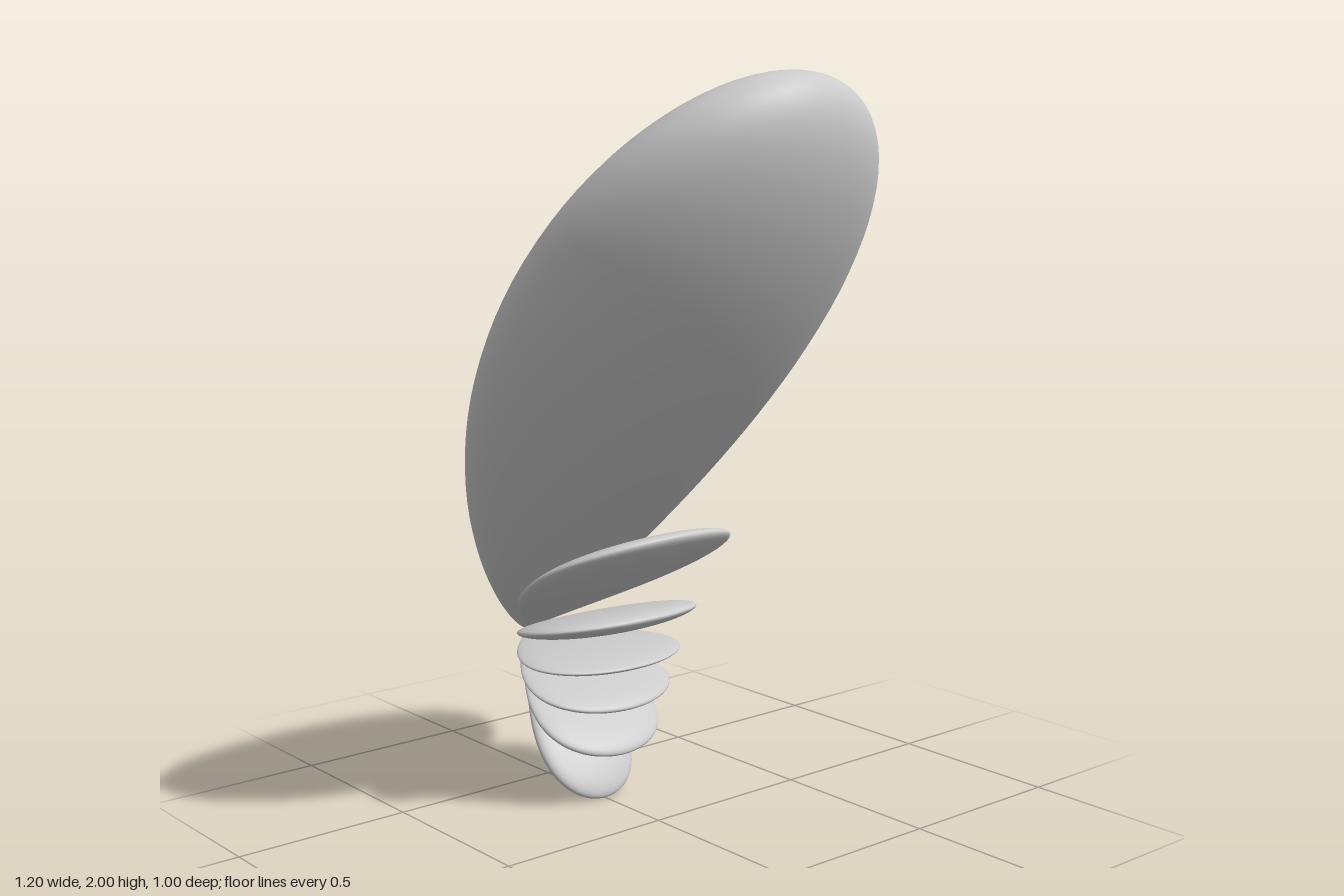
import * as THREE from 'three';
import { mergeVertices } from 'three/addons/utils/BufferGeometryUtils.js';

const PIVOT = new THREE.Vector2(-0.592, 0.42);

// Egg-like outline: narrow at the root, blunt at the tip, value 1 at t = peak
function outline(t, peak) {
  const a = (0.5 * peak) / (1 - peak);
  const raw = (u) => Math.pow(u, a) * Math.sqrt(1 - u);
  return raw(t) / raw(peak);
}

// A flattened teardrop along +y; its centre line bows and its side edges curl to -x
function petalGeometry(length, halfWidth, halfThickness, peak) {
  const profile = [];
  const steps = 48;
  for (let i = 0; i <= steps; i++) {
    const t = (1 - Math.cos((Math.PI * i) / steps)) / 2;
    const r = i === 0 || i === steps ? 0 : outline(t, peak);
    profile.push(new THREE.Vector2(r, t));
  }
  let geo = new THREE.LatheGeometry(profile, 64);
  const pos = geo.attributes.position;
  for (let i = 0; i < pos.count; i++) {
    const t = pos.getY(i);
    const bow = 1.4 * t * (1 - t) ** 2;
    const curl = 0.2 * pos.getZ(i) ** 2;
    pos.setX(i, pos.getX(i) - bow - curl);
  }
  geo.scale(halfThickness, length, halfWidth);
  // Weld the seam so the shading stays smooth
  geo.deleteAttribute('normal');
  geo.deleteAttribute('uv');
  geo = mergeVertices(geo, 1e-5);
  geo.computeVertexNormals();
  return geo;
}

export function createModel() {
  const model = new THREE.Group();
  model.name = 'petalFan';
  const material = new THREE.MeshStandardMaterial({ color: 0xcccccc });

  // Tip x, tip y, half width, half thickness, where the petal is widest
  const petals = [
    ['mainPetal', 0.556, 1.984, 0.5, 0.243, 0.605],
    ['smallPetal1', 0.1, 0.815, 0.3, 0.042, 0.69],
    ['smallPetal2', -0.025, 0.565, 0.265, 0.032, 0.69],
    ['smallPetal3', -0.085, 0.417, 0.245, 0.022, 0.69],
    ['smallPetal4', -0.112, 0.295, 0.222, 0.028, 0.69],
    ['smallPetal5', -0.14, 0.158, 0.195, 0.034, 0.69],
    ['smallPetal6', -0.228, 0.006, 0.15, 0.04, 0.69],
    ['smallPetal7', -0.492, 0.098, 0.048, 0.038, 0.66],
  ];

  // All petals fan out from one root point
  for (const [name, x, y, width, thickness, peak] of petals) {
    const dir = new THREE.Vector2(x, y).sub(PIVOT);
    const mesh = new THREE.Mesh(petalGeometry(dir.length(), width, thickness, peak), material);
    mesh.name = name;
    mesh.position.set(PIVOT.x, PIVOT.y, 0);
    mesh.rotation.z = Math.atan2(dir.y, dir.x) - Math.PI / 2;
    model.add(mesh);
  }
  return model;
}
